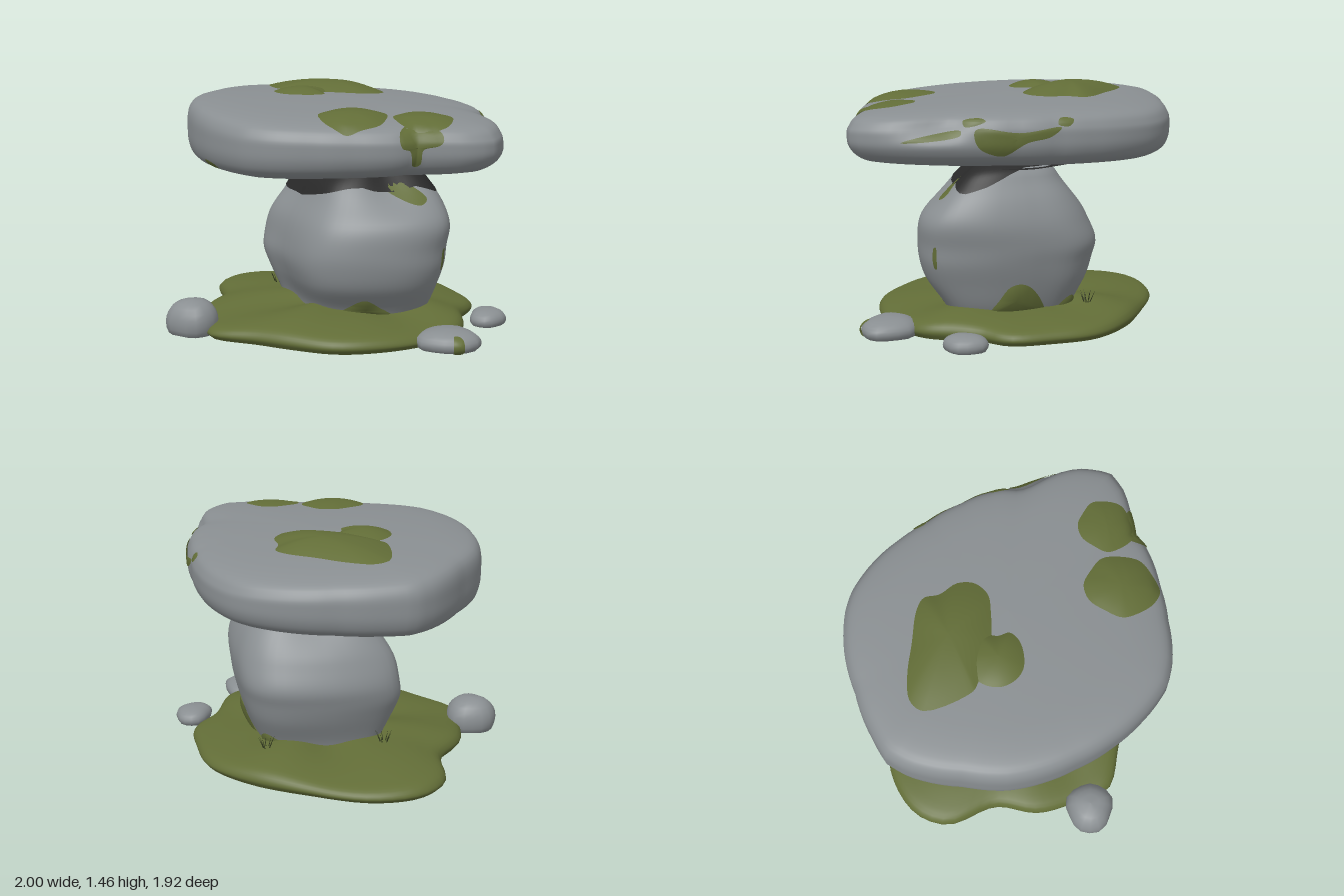
import * as THREE from 'three';

const TAU = Math.PI * 2;
const mat = (name, color, side = THREE.FrontSide) => {
  const m = new THREE.MeshStandardMaterial({ color, side });
  m.name = name;
  return m;
};

// linear lookup in a table of [key, value] rows sorted by key
function lookup(table, k) {
  if (k <= table[0][0]) return table[0][1];
  for (let i = 1; i < table.length; i++) {
    const [k0, v0] = table[i - 1], [k1, v1] = table[i];
    if (k <= k1) return v0 + (v1 - v0) * (k - k0) / (k1 - k0 || 1);
  }
  return table[table.length - 1][1];
}

// smooth curve through 2D points
const smooth = (pts, n, closed = false) => new THREE.CatmullRomCurve3(
  pts.map(([a, b]) => new THREE.Vector3(a, b, 0)), closed, 'centripetal').getPoints(n).map(p => [p.x, p.y]);

// outline [x, z] points -> radius as a function of angle
function polar(points) {
  const t = points.map(([x, z]) => [(Math.atan2(z, x) + TAU) % TAU, Math.hypot(x, z)]).sort((a, b) => a[0] - b[0]);
  const first = t[0], last = t[t.length - 1];
  const full = [[last[0] - TAU, last[1]], ...t, [first[0] + TAU, first[1]]];
  return a => lookup(full, ((a % TAU) + TAU) % TAU);
}

function build(positions, index) {
  const g = new THREE.BufferGeometry();
  g.setAttribute('position', new THREE.Float32BufferAttribute(positions, 3));
  g.setIndex(index);
  g.computeVertexNormals();
  return g;
}

// closed rings stacked from bottom to top; f(angle, row 0..1) gives [x, y, z]
function loft(f, rows, cols) {
  const pos = [], idx = [];
  for (let i = 0; i <= rows; i++) for (let j = 0; j < cols; j++) pos.push(...f(j / cols * TAU, i / rows));
  for (let i = 0; i < rows; i++) for (let j = 0; j < cols; j++) {
    const a = i * cols + j, b = i * cols + (j + 1) % cols, c = a + cols, d = b + cols;
    idx.push(a, c, b, b, c, d);
  }
  return build(pos, idx);
}

// thin domed patch: a 2D outline carried onto a surface by map(a, b, height)
function patch(outline, map, lift, bulge) {
  const n = 64, rings = 8, pos = [], idx = [];
  const pts = smooth(outline, n, true);
  const mean = i => outline.reduce((sum, p) => sum + p[i], 0) / outline.length;
  const ca = mean(0), cb = mean(1);
  for (let i = 0; i <= rings; i++) for (let j = 0; j < n; j++) {
    const k = i / rings;
    pos.push(...map(ca + (pts[j][0] - ca) * k, cb + (pts[j][1] - cb) * k, lift + bulge * (1 - k * k)));
    if (i === rings) continue;
    const a = i * n + j, b = i * n + (j + 1) % n;
    idx.push(a, a + n, b, b, a + n, b + n);
  }
  return build(pos, idx);
}

const ellipse = (x, z, rx, rz) => Array.from({ length: 12 }, (_, i) => {
  const a = i / 12 * TAU, w = 1 + 0.05 * Math.sin(i * 2.4);
  return [x + rx * w * Math.cos(a), z + rz * w * Math.sin(a)];
});
// push a surface point outwards in the horizontal plane
const outward = f => (a, y, h) => {
  const [x, py, z] = f(a, y);
  return [x + h * Math.cos(a), py, z + h * Math.sin(a)];
};
// bell curve around an angle
const bell = (a, centre, width) => {
  const d = THREE.MathUtils.euclideanModulo(a - centre + Math.PI, TAU) - Math.PI;
  return Math.exp(-d * d / (width * width));
};

export function createModel() {
  const group = new THREE.Group();
  const rock = mat('grey rock', 0x8a8f92);
  const moss = mat('moss green', 0x626d37, THREE.DoubleSide);
  const shade = mat('dark rock', 0x292929, THREE.DoubleSide);
  const grass = mat('dark grass', 0x353d22, THREE.DoubleSide);
  const add = (name, geo, m) => {
    const mesh = new THREE.Mesh(geo, m);
    mesh.name = name;
    group.add(mesh);
  };

  // broad cap stone
  const capR = polar([[0.05, -0.96], [0.17, -0.93], [0.35, -0.82], [0.5, -0.67], [0.62, -0.5], [0.75, -0.29], [0.83, -0.12],
    [0.91, 0.05], [0.97, 0.22], [1, 0.45], [0.97, 0.62], [0.85, 0.7], [0.68, 0.74], [0.55, 0.76], [0.48, 0.82], [0.22, 0.9],
    [0, 0.94], [-0.25, 0.955], [-0.4, 0.92], [-0.6, 0.77], [-0.75, 0.6], [-0.87, 0.4], [-0.95, 0.22], [-1, 0],
    [-0.98, -0.25], [-0.92, -0.57], [-0.85, -0.69], [-0.7, -0.78], [-0.45, -0.88]]);
  const capProfile = smooth([[0, 0.977], [0.42, 0.985], [0.75, 1.015], [0.9, 1.042], [0.965, 1.08], [0.995, 1.14], [1, 1.21],
    [0.993, 1.285], [0.955, 1.34], [0.85, 1.37], [0.55, 1.39], [0, 1.4]], 44);
  const capByY = capProfile.map(([s, y]) => [y, s]);
  const capTop = capProfile.filter(p => p[1] > 1.22).reverse();
  const tilt = (x, y, z) => y + (y > 1.2 ? -0.03 * x - 0.035 * z * z : 0.025 * x) * Math.min(1, Math.abs(y - 1.2) / 0.1);
  const capAt = (a, s, y) => {
    // shallow notch in the upper edge of the left side
    const cut = 1 - 0.09 * bell(a, 0.12, 0.17) * THREE.MathUtils.smoothstep(y, 1.14, 1.32);
    const r = capR(a) * s * cut, x = r * Math.cos(a), z = r * Math.sin(a);
    return [x, tilt(x, y, z), z];
  };
  add('cap', loft((a, v) => {
    const [s, y] = capProfile[Math.round(v * 44)];
    return capAt(a, s, y);
  }, 44, 120), rock);

  // moss cushions on top of the cap
  const onTop = (x, z, h) => [x, tilt(x, lookup(capTop, Math.hypot(x, z) / capR(Math.atan2(z, x))), z) + h, z];
  add('topMoss', patch([[-0.61, -0.47], [-0.55, -0.55], [-0.4, -0.57], [-0.2, -0.55], [0, -0.53], [0.08, -0.49], [0.1, -0.4],
    [0.17, -0.3], [0.17, -0.2], [0.1, -0.12], [-0.02, -0.1], [-0.2, -0.1], [-0.45, -0.17], [-0.5, -0.2]], onTop, 0.004, 0.058), moss);
  add('topMossLobe', patch([[-0.44, -0.16], [-0.47, -0.05], [-0.43, 0.04], [-0.35, 0.09], [-0.2, 0.07], [-0.14, 0.01],
    [-0.16, -0.06], [-0.15, -0.18], [-0.3, -0.25]], onTop, 0.004, 0.035), moss);
  add('frontMoss', patch(ellipse(0.17, 0.66, 0.19, 0.22), onTop, 0.004, 0.03), moss);
  add('cornerMoss', patch(ellipse(0.56, 0.58, 0.165, 0.17), onTop, 0.004, 0.016), moss);

  // moss streaks on the side of the cap
  const onCapSide = outward((a, y) => capAt(a, lookup(capByY, y), y));
  [
    [[1.04, 1.34], [1.04, 1.23], [0.99, 1.2], [0.965, 1.1], [0.925, 1.1], [0.91, 1.21], [0.83, 1.25], [0.81, 1.34]],
    [[-0.1, 1.28], [-0.4, 1.255], [-0.7, 1.29], [-0.62, 1.22], [-0.45, 1.18], [-0.28, 1.09], [-0.13, 1.14]],
    [[0.3, 1.185], [0, 1.235], [0, 1.27], [0.2, 1.235]],
    [[-0.02, 1.3], [-0.16, 1.33], [-0.12, 1.345], [0, 1.33]],
    [[-0.68, 1.31], [-0.76, 1.3], [-0.8, 1.335], [-0.7, 1.34]],
    [[2.28, 1.065], [2.4, 1.07], [2.42, 1.1], [2.3, 1.09]],
  ].forEach((o, i) => add('capSideMoss' + (i + 1), patch(o, onCapSide, 0.006, 0.002), moss));

  // boulder stem: one lopsided cross-section fitted into rows of y, min x, max x, min z, max z
  const stemR = polar(smooth([[1, 0.45], [0.93, -0.02], [0.6, -0.62], [0.34, -0.93], [0.05, -1], [-0.5, -0.74], [-0.95, -0.3], [-1, -0.1],
    [-0.75, 0.25], [-0.25, 0.93], [0.08, 1], [0.58, 0.87], [0.86, 0.69]], 72, true).slice(0, -1));
  const stemRows = [[0, -0.4, 0.42, -0.38, 0.32], [0.14, -0.44, 0.52, -0.43, 0.37], [0.3, -0.51, 0.59, -0.51, 0.49],
    [0.42, -0.555, 0.63, -0.545, 0.525], [0.52, -0.55, 0.64, -0.57, 0.53], [0.66, -0.51, 0.66, -0.52, 0.5],
    [0.8, -0.42, 0.6, -0.45, 0.4], [0.9, -0.35, 0.52, -0.38, 0.32], [0.96, -0.26, 0.46, -0.34, 0.25], [1, -0.16, 0.38, -0.28, 0.18]];
  const [x0s, x1s, z0s, z1s] = [1, 2, 3, 4].map(k => smooth(stemRows.map(r => [r[0], r[k]]), 50));
  const stemAt = (a, y) => {
    const x0 = lookup(x0s, y), x1 = lookup(x1s, y), z0 = lookup(z0s, y), z1 = lookup(z1s, y);
    // the shoulders slope in more on two opposite corners
    const slope = THREE.MathUtils.smoothstep(y, 0.68, 0.98) * (0.25 * bell(a, 0.95, 0.4) + 0.2 * bell(a, 4.2, 0.6));
    const r = stemR(a) * (1 - slope) / 2;
    return [(x0 + x1) / 2 + (x1 - x0) * r * Math.cos(a), y, (z0 + z1) / 2 + (z1 - z0) * r * Math.sin(a)];
  };
  add('stem', loft(stemAt, 40, 72), rock);
  const onStem = outward(stemAt);

  // dark band under the cap with an uneven lower edge, and the dark contact spot above it
  const darkEdge = [[0, 0.88], [0.3, 0.84], [0.6, 0.89], [0.9, 0.86], [1.2, 0.865], [1.4, 0.89], [1.6, 0.885], [1.9, 0.85], [2.2, 0.825],
    [2.6, 0.8], [3.1, 0.81], [3.6, 0.87], [4, 0.92], [4.5, 0.96], [5, 0.985], [5.6, 0.98], [5.9, 0.95], [TAU, 0.88]];
  add('darkNeck', loft((a, v) => {
    const y = lookup(darkEdge, a);
    return onStem(a, y + (0.998 - y) * v, 0.007);
  }, 10, 72), shade);
  add('darkContact', patch(ellipse(0, -0.05, 0.41, 0.36), (x, z, h) => [x, 0.976 - h, z], 0, 0.004), shade);

  // moss on the stem and creeping up from the ground
  [
    [[1.1, 0.9], [0.9, 0.925], [0.7, 0.91], [0.58, 0.83], [0.7, 0.79], [0.95, 0.84]],
    [[0.435, 0.4], [0.465, 0.4], [0.47, 0.52], [0.44, 0.53]],
    [[1.65, 0.1], [1.45, 0.18], [1.27, 0.225], [1.1, 0.17], [0.9, 0.1]],
    [[0, 0.1], [-0.2, 0.2], [-0.4, 0.29], [-0.65, 0.28], [-0.95, 0.1]],
    [[-1.1, 0.1], [-1.3, 0.19], [-1.6, 0.1]],
  ].forEach((o, i) => add('stemMoss' + (i + 1), patch(o, onStem, 0.006, i < 2 ? 0.002 : 0.02), moss));

  // mossy ground mound
  const moundR = polar(smooth([[0.76, -0.26], [0.72, -0.05], [0.76, 0.28], [0.56, 0.58], [0.32, 0.75], [0.1, 0.82], [-0.16, 0.79],
    [-0.4, 0.73], [-0.7, 0.66], [-0.77, 0.5], [-0.87, 0.2], [-0.83, -0.08], [-0.95, -0.37], [-0.88, -0.59], [-0.64, -0.75],
    [-0.25, -0.8], [0.12, -0.8], [0.45, -0.69], [0.64, -0.47]], 90, true).slice(0, -1));
  const moundProfile = smooth([[0.97, 0.004], [1, 0.04], [0.97, 0.08], [0.85, 0.112], [0.6, 0.14], [0, 0.15]], 20);
  add('mossMound', loft((a, v) => {
    const [s, y] = moundProfile[Math.round(v * 20)], r = moundR(a) * s;
    return [r * Math.cos(a), y * (1 + 0.12 * Math.sin(4 * a + 1) + 0.06 * Math.sin(7 * a)), r * Math.sin(a)];
  }, 20, 90), moss);
  add('moundUnderside', loft((a, v) => [moundR(a) * v * 0.97 * Math.cos(a), 0, moundR(a) * v * 0.97 * Math.sin(a)], 1, 90), rock);

  // pebbles: x, z, half width, height, half depth
  const pebbleAt = ([x, z, rx, h, rz]) => (a, v) => {
    const t = (v - 0.5) * Math.PI;
    const r = Math.max(0, Math.cos(t)) ** 0.75 * (1 + 0.05 * Math.sin(3 * a + x * 9) + 0.03 * Math.cos(5 * a));
    return [x + rx * r * Math.cos(a), h * Math.max(0, (Math.sin(t) + 0.55) / 1.55), z + rz * r * Math.sin(a)];
  };
  const pebbles = [[-0.84, 0.53, 0.16, 0.21, 0.15], [0.71, 0.51, 0.19, 0.115, 0.165], [0.88, -0.03, 0.11, 0.095, 0.135]];
  pebbles.forEach((p, i) => add('pebble' + (i + 1), loft(pebbleAt(p), 12, 16), rock));
  add('pebbleMoss', patch([[0.95, 0.34], [1.1, 0.32], [1.26, 0.34], [1.28, 0.55], [1.22, 0.78], [1.05, 0.8], [0.93, 0.74], [0.94, 0.55]],
    outward(pebbleAt(pebbles[1])), 0.006, 0.002), moss);

  // grass tufts
  [[0.13, -0.54], [-0.5, -0.2]].forEach(([x, z], i) => {
    const tuft = new THREE.Group();
    tuft.name = 'grassTuft' + (i + 1);
    for (let k = 0; k < 7; k++) {
      const blade = new THREE.Mesh(new THREE.ConeGeometry(0.005, 0.09 + 0.02 * (k % 3), 3), grass);
      blade.name = 'blade';
      blade.position.set(0.03 * Math.cos(k * 2.4), 0.04, 0.03 * Math.sin(k * 2.4));
      blade.rotation.set(0.4 * Math.sin(k * 2.4), 0, -0.4 * Math.cos(k * 2.4));
      tuft.add(blade);
    }
    tuft.position.set(x, 0.13, z);
    group.add(tuft);
  });
  return group;
}
